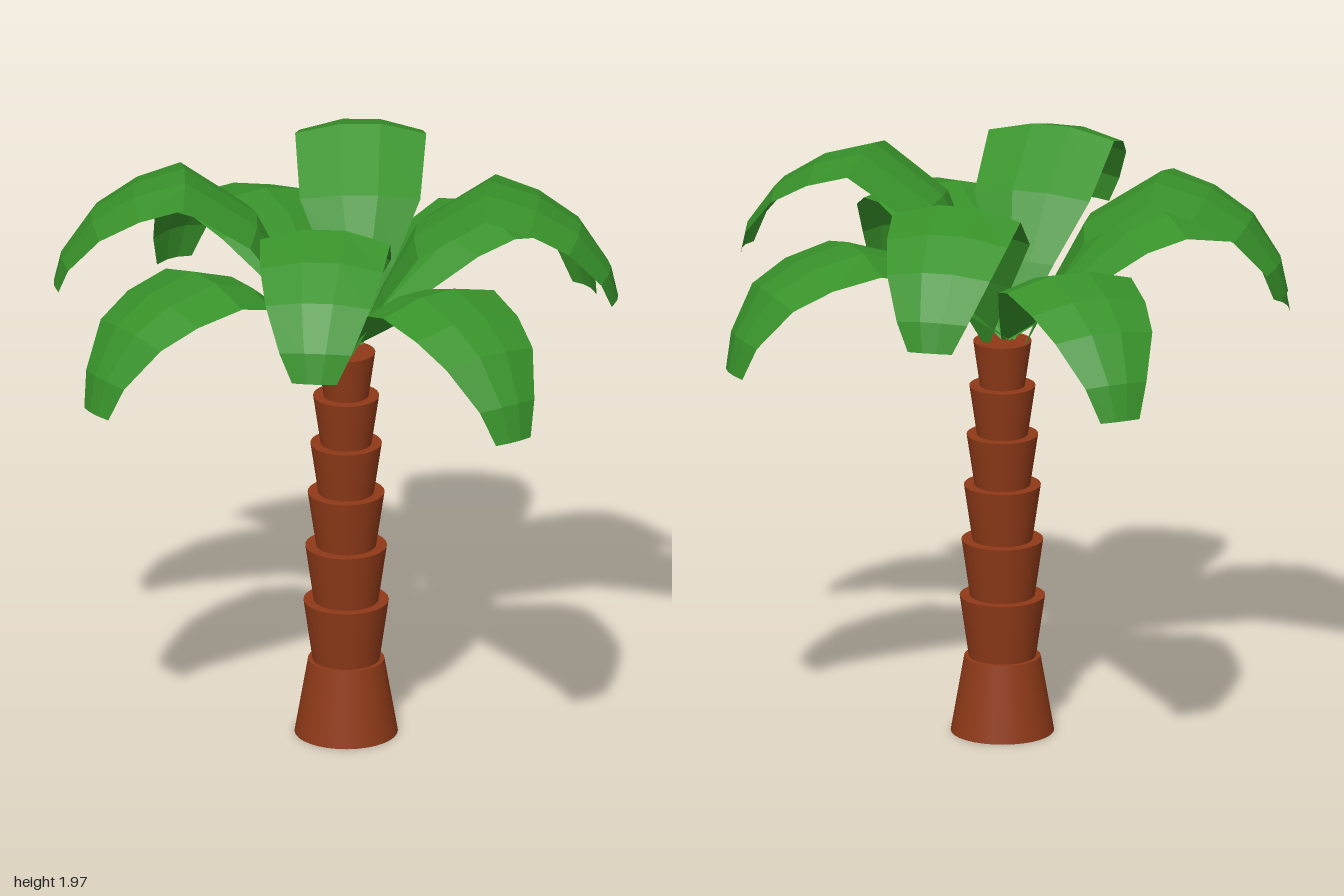
import * as THREE from 'three';

const bark = new THREE.MeshStandardMaterial({ color: 0x8f3a18 });
const leaf = new THREE.MeshStandardMaterial({ color: 0x38922a, flatShading: true, side: THREE.DoubleSide });

// Frond rows: [reach, height above the crown, half width]
const LOW = [[0, 0, 0.012], [0.2, 0.17, 0.11], [0.4, 0.335, 0.2], [0.55, 0.385, 0.224], [0.73, 0.345, 0.205],
  [0.87, 0.27, 0.175], [0.97, 0.12, 0.11], [1, 0, 0.07]];
const HIGH = [[0, 0, 0.012], [0.1, 0.24, 0.11], [0.21, 0.45, 0.2], [0.45, 0.61, 0.218], [0.62, 0.56, 0.205],
  [0.76, 0.47, 0.175], [0.86, 0.33, 0.12], [0.885, 0.23, 0.075]];
const ACROSS = [-1, -0.3, 0.3, 1];

// An arched leaf blade reaching along +z
function frondGeometry(rows) {
  const pos = [], index = [], n = ACROSS.length;
  rows.forEach(([z, y, w], i) => {
    const a = rows[Math.max(i - 1, 0)], b = rows[Math.min(i + 1, rows.length - 1)];
    const dz = b[0] - a[0], dy = b[1] - a[1], len = Math.hypot(dz, dy);
    for (const u of ACROSS) {
      // the two outer edges droop along the blade's normal
      const drop = Math.abs(u) === 1 ? w * 0.18 : 0;
      pos.push(u * w, y - drop * dz / len, z + drop * dy / len);
    }
    if (i === 0) return;
    for (let j = 0; j < n - 1; j++) {
      const p = (i - 1) * n + j, q = i * n + j;
      index.push(p, q, q + 1, p, q + 1, p + 1);
    }
  });
  const g = new THREE.BufferGeometry();
  g.setAttribute('position', new THREE.Float32BufferAttribute(pos, 3));
  g.setIndex(index);
  g.computeVertexNormals();
  return g;
}

export function createModel() {
  const root = new THREE.Group();
  root.name = 'palmTree';

  // Trunk: a flared foot, then stacked segments widening upward
  const trunk = new THREE.Group();
  trunk.name = 'trunk';
  trunk.position.set(0.016, 0, 0.005);
  root.add(trunk);
  // [bottom, top, bottom radius, top radius]
  const segments = [
    [0, 0.26, 0.172, 0.127], [0.26, 0.47, 0.112, 0.142], [0.47, 0.665, 0.108, 0.136],
    [0.665, 0.855, 0.1, 0.128], [0.855, 1.03, 0.093, 0.119], [1.03, 1.2, 0.085, 0.11], [1.2, 1.355, 0.075, 0.097],
  ];
  segments.forEach(([y0, y1, r0, r1], i) => {
    const m = new THREE.Mesh(new THREE.CylinderGeometry(r1, r0, y1 - y0, 32), bark);
    m.name = i === 0 ? 'trunkFoot' : 'trunkSegment' + i;
    m.position.y = (y0 + y1) / 2;
    trunk.add(m);
  });

  // Crown: four low fronds on the axes, four high ones between them
  const crown = new THREE.Group();
  crown.name = 'crown';
  crown.position.y = 1.36;
  root.add(crown);
  const low = frondGeometry(LOW), high = frondGeometry(HIGH);
  const addFrond = (name, geometry, x, z, dx, dz) => {
    const m = new THREE.Mesh(geometry, leaf);
    m.name = name;
    m.position.set(x, 0, z);
    m.rotation.y = Math.atan2(dx, dz);
    crown.add(m);
  };
  addFrond('lowFrondFront', low, 0.01, 0, 0, 1);
  addFrond('lowFrondBack', low, 0.01, 0, 0, -1);
  addFrond('lowFrondLeft', low, 0, -0.005, 1, 0);
  addFrond('lowFrondRight', low, 0, -0.005, -1, 0);
  addFrond('highFrondBackLeft', high, 0.08, -0.01, 0.578, -0.816);
  addFrond('highFrondFrontLeft', high, 0.013, 0.045, 0.77, 0.637);
  addFrond('highFrondFrontRight', high, -0.01, -0.01, -0.64, 0.77);
  addFrond('highFrondBackRight', high, -0.03, -0.08, -0.834, -0.552);

  return root;
}
